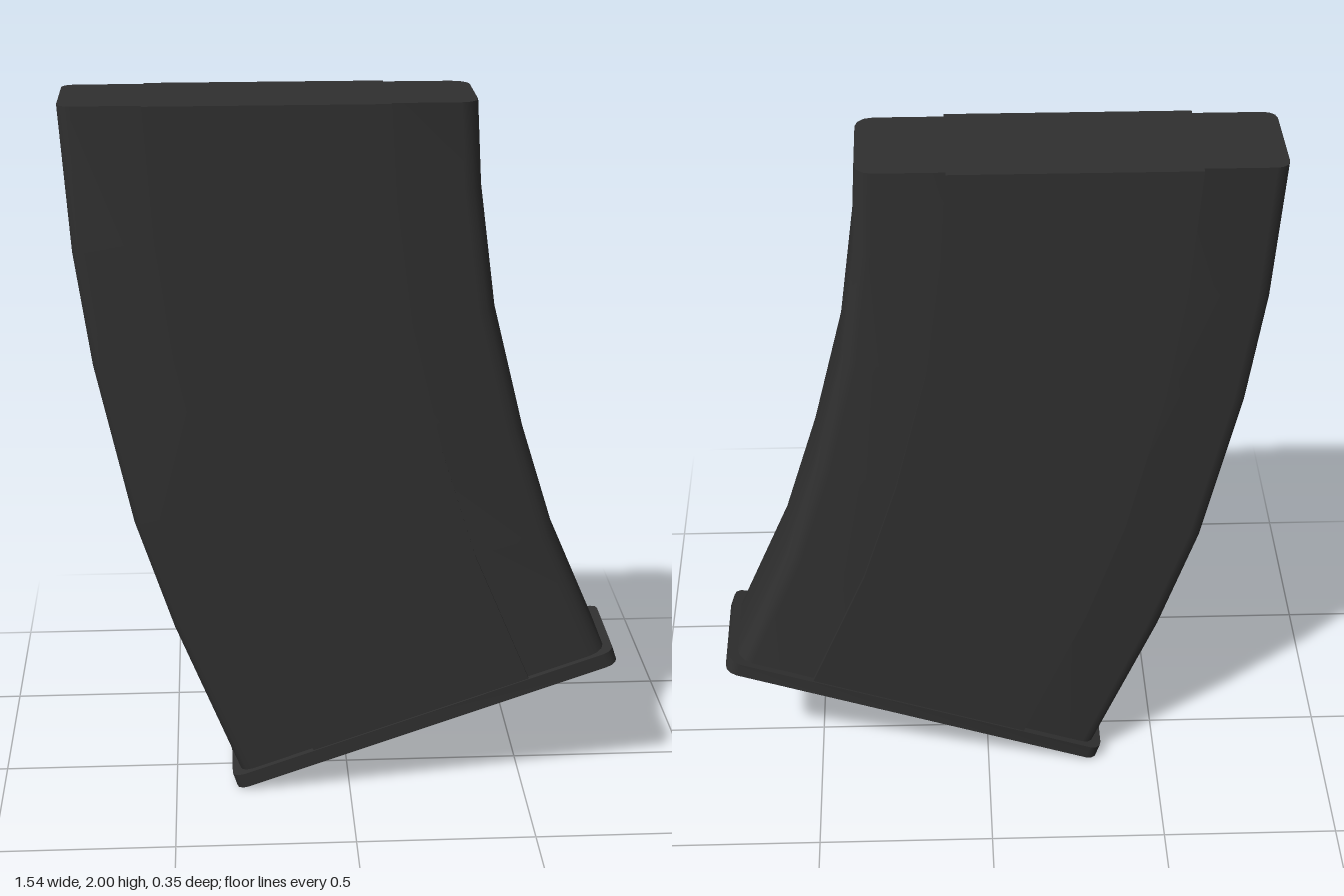
import * as THREE from 'three';
import { toCreasedNormals } from 'three/addons/utils/BufferGeometryUtils.js';

// Stations from top to bottom: [left x, left y, right x, right y]
const CURVE = [
  [-0.772, 2, 0.345, 2],
  [-0.745, 1.6, 0.357, 1.77],
  [-0.7, 1.28, 0.4, 1.43],
  [-0.6, 0.82, 0.485, 1.08],
  [-0.495, 0.5, 0.58, 0.77],
  [-0.31, 0.04, 0.74, 0.395],
];
const PLATE = [
  [-0.338, 0.043, 0.757, 0.416],
  [-0.325, 0.003, 0.77, 0.376],
];

// Rounded rectangle as [u, z] pairs; u runs 0..1 across a station
function section(u0, u1, halfZ, rLeft, rRight, width = 1.11, steps = 3) {
  const ring = [];
  const corners = [[1, 1, rRight], [-1, 1, rLeft], [-1, -1, rLeft], [1, -1, rRight]];
  corners.forEach(([sx, sz, r], q) => {
    const n = r > 0 ? steps : 0;
    for (let k = 0; k <= n; k++) {
      const a = (q + (n ? k / n : 0)) * Math.PI / 2;
      const u = (sx > 0 ? u1 : u0) + (Math.cos(a) - sx) * r / width;
      ring.push([u, sz * (halfZ - r) + Math.sin(a) * r]);
    }
  });
  return ring;
}

// Sweep a section through the stations and close both ends
function loft(name, ring, stations, material) {
  const place = ([u, z], [lx, ly, rx, ry]) => [lx + (rx - lx) * u, ly + (ry - ly) * u, z];
  const n = ring.length;
  const last = stations.length - 1;
  const pos = stations.flatMap((s) => ring.flatMap((p) => place(p, s)));
  const uMid = (Math.min(...ring.map((p) => p[0])) + Math.max(...ring.map((p) => p[0]))) / 2;
  const top = pos.length / 3;
  pos.push(...place([uMid, 0], stations[0]), ...place([uMid, 0], stations[last]));
  const index = [];
  for (let j = 0; j < n; j++) {
    const k = (j + 1) % n;
    for (let i = 0; i < last; i++) {
      const a = i * n + j, b = i * n + k;
      index.push(a, b, a + n, b, b + n, a + n);
    }
    index.push(top, k, j, top + 1, last * n + j, last * n + k);
  }
  const geo = new THREE.BufferGeometry();
  geo.setAttribute('position', new THREE.Float32BufferAttribute(pos, 3));
  geo.setIndex(index);
  const mesh = new THREE.Mesh(toCreasedNormals(geo, 0.65), material);
  mesh.name = name;
  return mesh;
}

export function createModel() {
  const group = new THREE.Group();
  group.name = 'curvedCase';
  const dark = new THREE.MeshStandardMaterial({ color: 0x303030 });
  // Curved body with softer corners on the inner side of the bend
  group.add(loft('body', section(0, 1, 0.155, 0.035, 0.048), CURVE, dark));
  // Raised panel standing proud of both broad faces
  group.add(loft('raisedSidePanels', section(0.2, 0.79, 0.169, 0, 0), CURVE, dark));
  // Tilted floor plate
  group.add(loft('basePlate', section(0, 1, 0.174, 0.035, 0.035, 1.157), PLATE, dark));
  return group;
}
